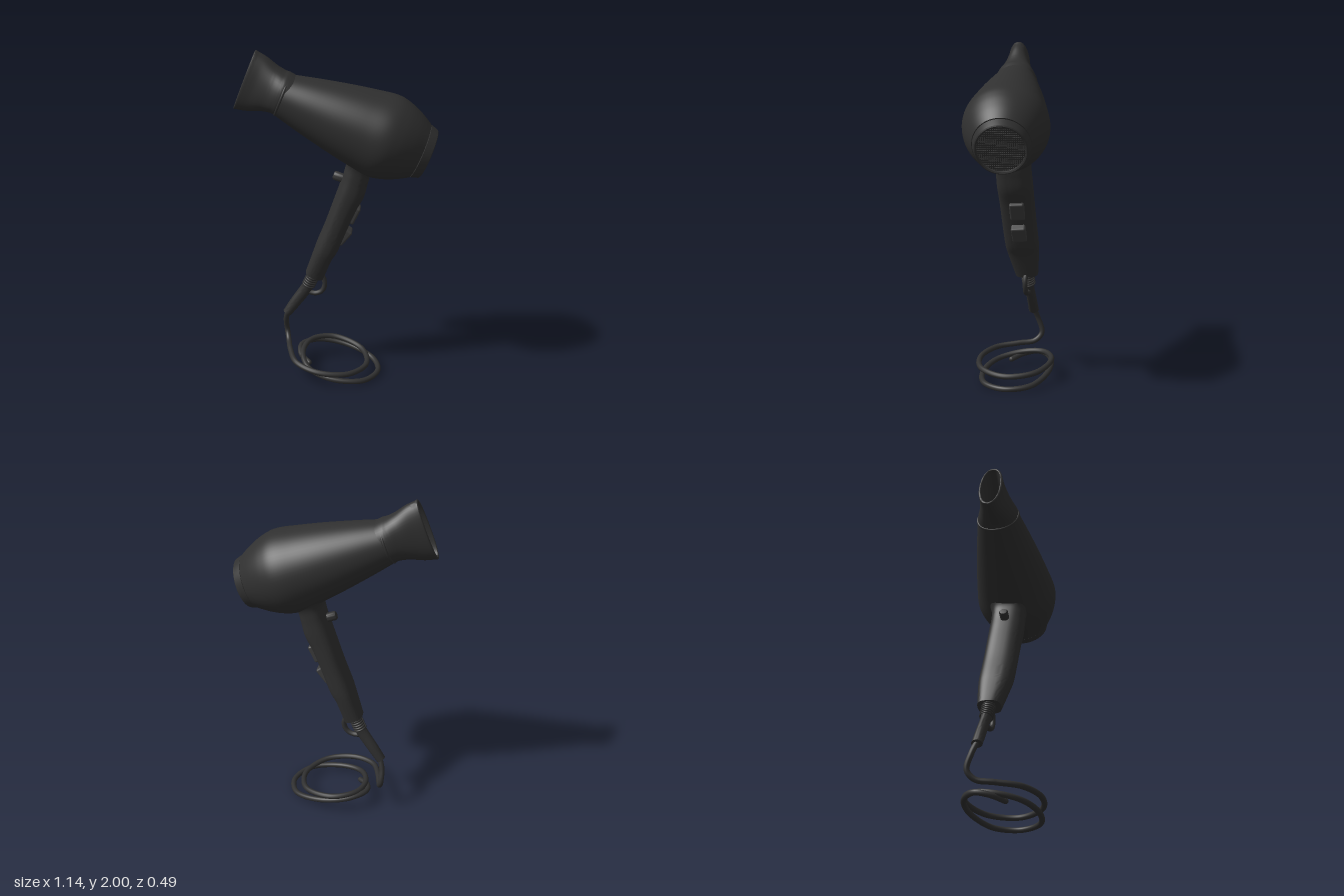
import * as THREE from 'three';
import { toCreasedNormals } from 'three/addons/utils/BufferGeometryUtils.js';
import { RoundedBoxGeometry } from 'three/addons/geometries/RoundedBoxGeometry.js';

const V3 = (x, y, z) => new THREE.Vector3(x, y, z);
const dark = new THREE.MeshStandardMaterial({ color: 0x303030 });
const buttonGrey = new THREE.MeshStandardMaterial({ color: 0x3c3c3c });

function add(parent, name, geometry, material = dark) {
  const mesh = new THREE.Mesh(geometry, material);
  mesh.name = name;
  parent.add(mesh);
  return mesh;
}

// Skin over superellipse sections [x, y, z, halfU, halfV], capped at both ends.
function loft(sections, u, v, power, steps, crease, sides = 48) {
  const centres = new THREE.CatmullRomCurve3(sections.map(s => V3(s[0], s[1], s[2])), false, 'catmullrom', 0.5);
  const sizes = new THREE.CatmullRomCurve3(sections.map(s => V3(s[3], s[4], 0)), false, 'catmullrom', 0.5);
  const pos = [], idx = [];
  const bend = c => Math.sign(c) * Math.abs(c) ** (2 / power);
  for (let i = 0; i <= steps; i++) {
    const c = centres.getPoint(i / steps), h = sizes.getPoint(i / steps);
    for (let j = 0; j < sides; j++) {
      const a = (j / sides) * Math.PI * 2;
      const p = c.clone().addScaledVector(u, h.x * bend(Math.cos(a))).addScaledVector(v, h.y * bend(Math.sin(a)));
      pos.push(p.x, p.y, p.z);
    }
  }
  for (let i = 0; i < steps; i++) for (let j = 0; j < sides; j++) {
    const k = (j + 1) % sides, a = i * sides + j, b = i * sides + k;
    idx.push(a, b, b + sides, a, b + sides, a + sides);
  }
  const first = centres.getPoint(0), last = centres.getPoint(1), n = pos.length / 3;
  pos.push(first.x, first.y, first.z, last.x, last.y, last.z);
  for (let j = 0; j < sides; j++) {
    const k = (j + 1) % sides;
    idx.push(n, k, j, n + 1, steps * sides + j, steps * sides + k);
  }
  const g = new THREE.BufferGeometry();
  g.setAttribute('position', new THREE.Float32BufferAttribute(pos, 3));
  g.setIndex(idx);
  return toCreasedNormals(g, crease);
}

function tube(points, radius, segments) {
  return new THREE.TubeGeometry(new THREE.CatmullRomCurve3(points.map(p => V3(...p))), segments, radius, 12);
}

// Barrel, nozzle and rear grille; local x runs from nozzle to rear, origin at the rear face.
function createHead() {
  const head = new THREE.Group();
  head.name = 'head';
  const axis = V3(1.02, -0.415, -0.105).normalize();
  const side = axis.clone().cross(V3(0, 1, 0)).normalize();
  const up = side.clone().cross(axis);
  head.quaternion.setFromRotationMatrix(new THREE.Matrix4().makeBasis(axis, up, side));
  head.position.set(0.51, 1.42, -0.035);

  const lathe = pts => toCreasedNormals(
    new THREE.LatheGeometry(pts.map(p => new THREE.Vector2(p[1], p[0])), 64).rotateZ(-Math.PI / 2), 0.6);
  const profile = new THREE.SplineCurve([[-0.87, 0.124], [-0.83, 0.134], [-0.71, 0.163], [-0.55, 0.198], [-0.4, 0.226],
    [-0.28, 0.244], [-0.2, 0.233], [-0.12, 0.203], [-0.048, 0.164]].map(p => new THREE.Vector2(...p)));
  add(head, 'barrel', lathe([[-0.87, 0], ...profile.getPoints(48).map(p => [p.x, p.y]), [-0.048, 0.152]]));
  add(head, 'rearRing', lathe([[-0.048, 0.15], [-0.044, 0.16], [-0.01, 0.15], [0.002, 0.146], [0.006, 0.14],
    [0.002, 0.132], [-0.015, 0.13], [-0.015, 0]]));

  // Woven rear mesh
  const grille = new THREE.Group();
  grille.name = 'rearGrille';
  head.add(grille);
  for (let i = -11; i <= 11; i++) {
    const d = i * 0.0112, len = 2 * Math.sqrt(0.131 ** 2 - d * d);
    add(grille, 'grilleBar', new THREE.BoxGeometry(0.008, len, 0.004)).position.set(-0.012, 0, d);
    add(grille, 'grilleBar', new THREE.BoxGeometry(0.008, 0.004, len)).position.set(-0.011, d, 0);
  }

  // Flattened hollow nozzle, outer wall then back inside
  add(head, 'nozzle', loft([
    [-0.82, 0.005, 0, 0.12, 0.12], [-0.88, 0.008, 0, 0.12, 0.126], [-0.91, 0.008, 0, 0.112, 0.126],
    [-0.96, 0.006, 0, 0.092, 0.138], [-1.03, 0.002, 0, 0.074, 0.164], [-1.08, 0, 0, 0.069, 0.174],
    [-1.1, 0, 0, 0.067, 0.178], [-1.102, 0, 0, 0.055, 0.165], [-1.08, 0, 0, 0.053, 0.16],
    [-1.0, 0, 0, 0.052, 0.13], [-0.92, 0, 0, 0.06, 0.09]], V3(0, 0, 1), V3(0, 1, 0), 2.2, 60, 0.7));
  add(head, 'nozzleCollar', new THREE.TorusGeometry(0.121, 0.008, 10, 64).rotateY(Math.PI / 2)).position.set(-0.875, 0.003, 0);
  return head;
}

function createHandle() {
  const handle = new THREE.Group();
  handle.name = 'handle';
  const tilt = new THREE.Euler(0, 0.1, -0.365, 'ZYX');
  const u = V3(1, 0, 0).applyEuler(tilt), v = V3(0, 0, 1).applyEuler(tilt);
  add(handle, 'grip', loft([
    [0.145, 1.42, -0.015, 0.15, 0.15], [0.128, 1.345, -0.018, 0.083, 0.108], [0.11, 1.27, -0.02, 0.075, 0.102],
    [0.083, 1.18, -0.023, 0.078, 0.103], [0.042, 1.085, -0.026, 0.071, 0.101], [-0.01, 0.95, -0.03, 0.067, 0.1],
    [-0.06, 0.825, -0.035, 0.067, 0.099], [-0.092, 0.755, -0.039, 0.06, 0.092], [-0.143, 0.62, -0.05, 0.057, 0.068]],
    u, v, 2.7, 56, 0.7));

  // Two rocker switches on the rear edge
  for (const [name, x, y, lean] of [['upperSwitch', 0.088, 1.035, -0.08], ['lowerSwitch', 0.033, 0.895, -0.3]]) {
    const rocker = add(handle, name, new RoundedBoxGeometry(0.06, 0.11, 0.086, 3, 0.012), buttonGrey);
    rocker.position.set(x, y, -0.037);
    rocker.rotation.set(0, 0.1, -0.365 + lean, 'ZYX');
    const bezel = add(handle, name + 'Bezel', new RoundedBoxGeometry(0.03, 0.125, 0.1, 2, 0.01));
    bezel.position.set(x - 0.02, y + 0.004, -0.036);
    bezel.rotation.copy(tilt);
  }
  // Small push button on the front edge
  const knob = add(handle, 'pushButton', toCreasedNormals(new THREE.LatheGeometry(
    [[0.026, -0.06], [0.027, 0.012], [0.021, 0.02], [0, 0.022]].map(p => new THREE.Vector2(...p)), 24).rotateZ(Math.PI / 2), 0.7));
  knob.position.set(-0.002, 1.268, -0.012);
  knob.rotation.copy(tilt);
  return handle;
}

function createCord() {
  const cord = new THREE.Group();
  cord.name = 'cordAssembly';
  // Strain relief sleeve with ribs
  const start = V3(-0.14, 0.64, -0.05), bend = V3(-0.19, 0.53, -0.055);
  add(cord, 'strainRelief', loft([[-0.14, 0.64, -0.05, 0.04, 0.04], [-0.165, 0.59, -0.052, 0.034, 0.036],
    [-0.195, 0.525, -0.055, 0.036, 0.028], [-0.26, 0.43, -0.058, 0.034, 0.029], [-0.318, 0.345, -0.06, 0.028, 0.031]],
    V3(0.84, -0.54, 0), V3(0, 0, 1), 2, 32, 0.8, 24));
  for (let i = 0; i < 6; i++) {
    const rib = add(cord, 'rib', new THREE.TorusGeometry(0.035, 0.006, 8, 24));
    rib.position.lerpVectors(start, bend, 0.2 + i * 0.13);
    rib.lookAt(rib.position.clone().add(bend).sub(start));
  }
  // Hanging loop beside the sleeve
  add(cord, 'hangingLoop', tube([[-0.12, 0.64, -0.05], [-0.09, 0.6, -0.05], [-0.082, 0.555, -0.05], [-0.1, 0.512, -0.05],
    [-0.14, 0.493, -0.052], [-0.185, 0.5, -0.055], [-0.21, 0.51, -0.055]], 0.015, 40));
  // Cable dropping into two tilted coils
  const path = [[-0.31, 0.36, -0.06], [-0.332, 0.29, -0.085], [-0.332, 0.2, -0.11], [-0.315, 0.15, -0.07],
    [-0.285, 0.135, 0.03], [-0.22, 0.12, 0.16], [-0.08, 0.1, 0.222], [0.09, 0.08, 0.18], [0.186, 0.07, 0.02],
    [0.13, 0.085, -0.15], [-0.05, 0.115, -0.218], [-0.18, 0.122, -0.15], [-0.215, 0.105, -0.02], [-0.15, 0.07, 0.13],
    [0, 0.04, 0.185], [0.18, 0.021, 0.14], [0.255, 0.018, 0], [0.2, 0.03, -0.14], [0.02, 0.07, -0.215],
    [-0.15, 0.1, -0.19], [-0.238, 0.105, -0.1], [-0.225, 0.085, -0.01], [-0.165, 0.065, 0.05]];
  add(cord, 'cable', tube(path, 0.0165, 260));
  add(cord, 'cableEnd', new THREE.SphereGeometry(0.0165, 12, 8)).position.set(...path[path.length - 1]);
  return cord;
}

export function createModel() {
  const model = new THREE.Group();
  model.name = 'hairDryer';
  model.add(createHead(), createHandle(), createCord());
  return model;
}
